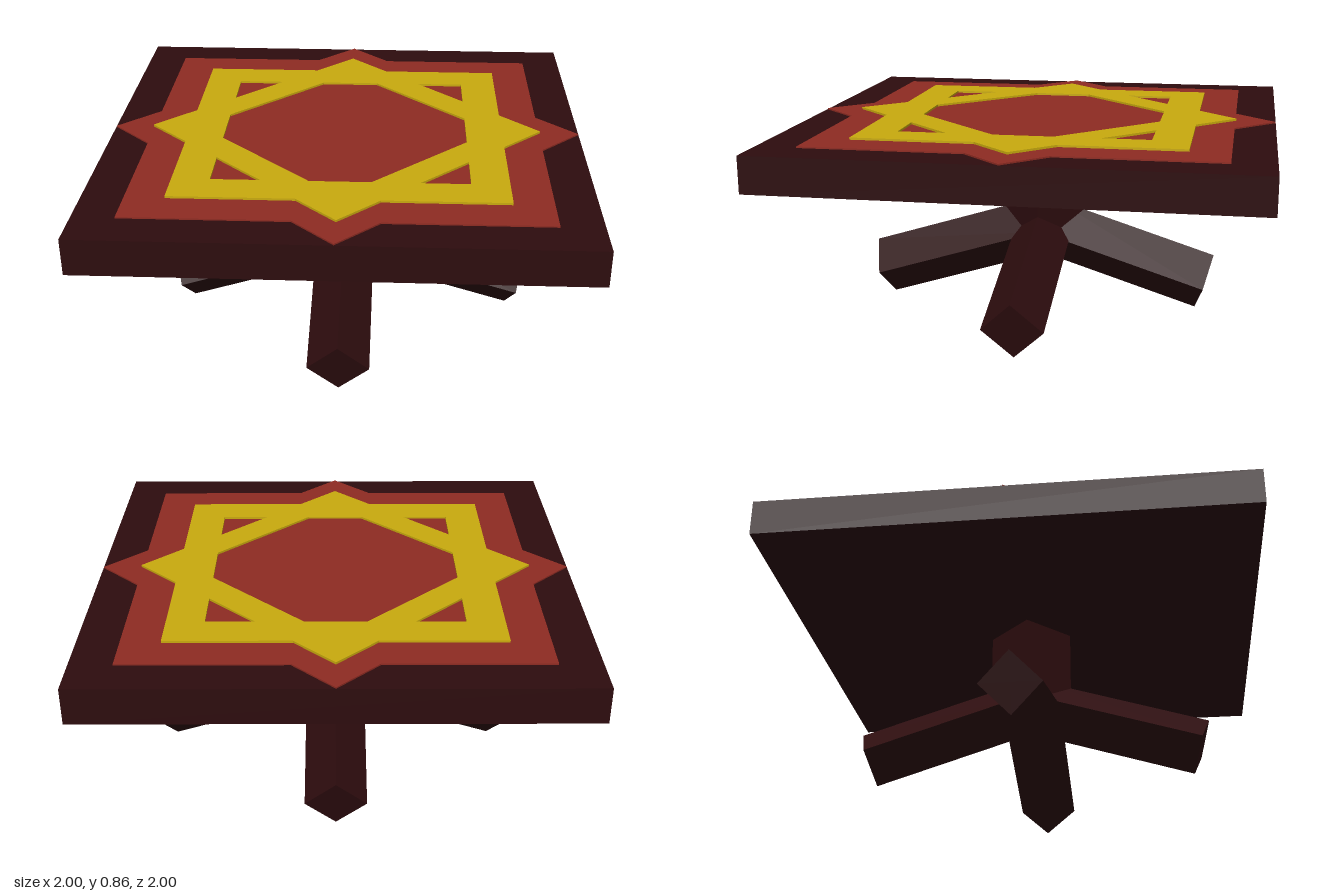
import * as THREE from 'three';

const flat = (name, color) => {
  const m = new THREE.MeshStandardMaterial({ color, flatShading: true });
  m.name = name;
  return m;
};

// Outline of a square overlaid with a diamond (eight-pointed star)
function starPoints(square, tip) {
  const n = tip - square;
  const points = [];
  const corner = [[tip, 0], [square, n], [square, square], [n, square]];
  for (let i = 0; i < 4; i++) {
    for (const [x, y] of corner) {
      points.push(new THREE.Vector2(x, y).rotateAround(new THREE.Vector2(), i * Math.PI / 2));
    }
  }
  return points;
}

export function createModel() {
  const group = new THREE.Group();
  group.name = 'table';
  const wood = flat('darkWood', 0x2d0c0e);
  const red = flat('redInlay', 0x8e2b22);
  const gold = flat('goldInlay', 0xc9aa0e);

  const add = (name, geometry, material) => {
    const mesh = new THREE.Mesh(geometry, material);
    mesh.name = name;
    group.add(mesh);
    return mesh;
  };
  // Flat plate lying on the table, from bottom y upwards
  const plate = (name, shape, y, depth, material) => {
    const g = new THREE.ExtrudeGeometry(shape, { depth, bevelEnabled: false });
    g.rotateX(-Math.PI / 2).translate(0, y, 0);
    return add(name, g, material);
  };

  // Table top
  add('tableTop', new THREE.BoxGeometry(2, 0.15, 2).translate(0, 0.77, 0), wood);

  // Red star inlay
  plate('redStar', new THREE.Shape(starPoints(0.83, 0.998)), 0.845, 0.006, red);

  // Gold interlaced star with an octagonal centre and four corner openings
  const star = new THREE.Shape(starPoints(0.67, 0.835));
  const a = 0.516, b = 0.124, c = 0.316;
  const octagon = [[a, b], [b, a], [-b, a], [-a, b], [-a, -b], [-b, -a], [b, -a], [a, -b]];
  star.holes.push(new THREE.Path(octagon.map(([x, y]) => new THREE.Vector2(x, y))));
  for (const sx of [-1, 1]) {
    for (const sy of [-1, 1]) {
      const triangle = [[a, a], [c, a], [a, c]];
      star.holes.push(new THREE.Path(triangle.map(([x, y]) => new THREE.Vector2(sx * x, sy * y))));
    }
  }
  plate('goldStar', star, 0.851, 0.009, gold);

  // Square column turned on its corner
  add('column', new THREE.CylinderGeometry(0.178, 0.178, 0.37, 4).translate(0, 0.515, 0), wood);

  // Four square legs sloping down from the hub, each on its edge
  const hub = 0.351, endY = 0.1225;
  const legs = [['leftLeg', 0.77, 0], ['backLeg', 0.72, 1], ['rightLeg', 0.74, 2], ['frontLeg', 0.742, 3]];
  for (const [name, reach, turn] of legs) {
    const drop = hub - endY;
    const length = Math.hypot(reach, drop);
    const g = new THREE.CylinderGeometry(0.128, 0.128, length, 4);
    g.rotateZ(-Math.PI / 2).translate(length / 2, 0, 0);
    g.rotateZ(-Math.atan2(drop, reach));
    g.rotateY(turn * Math.PI / 2).translate(0, hub, 0);
    add(name, g, wood);
  }
  return group;
}
